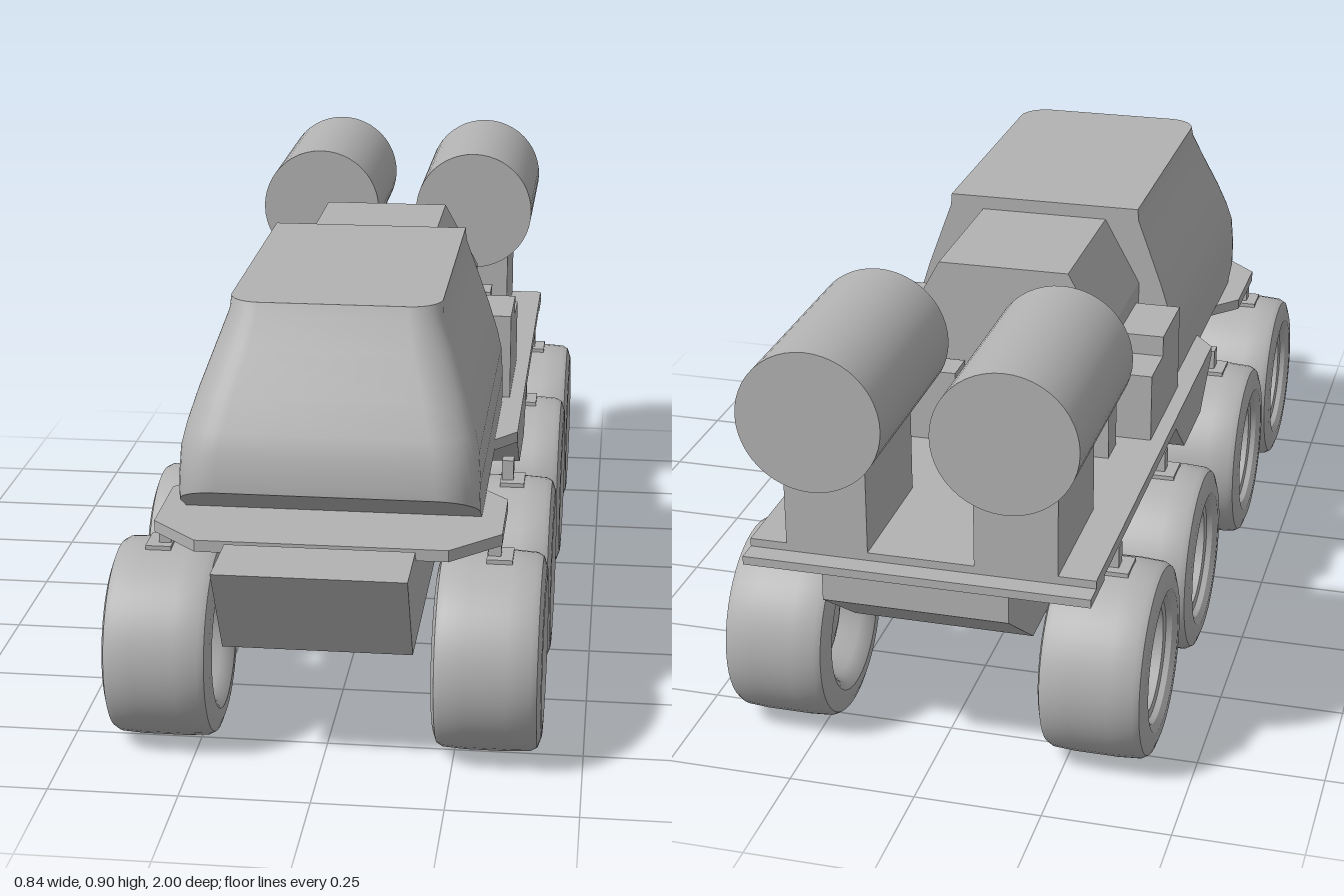
import * as THREE from 'three';
import { toCreasedNormals } from 'three/addons/utils/BufferGeometryUtils.js';

const bodyGrey = new THREE.MeshStandardMaterial({ color: 0xb2b2b2 });
bodyGrey.name = 'body grey';

export function createModel() {
  const model = new THREE.Group();
  model.name = 'sixteenFootRover';
  model.name = 'eightWheelRover';

  function add(geo, name, parent = model) {
    const mesh = new THREE.Mesh(geo, bodyGrey);
    mesh.name = name;
    parent.add(mesh);
    return mesh;
  }
  // Box given by its limits on each axis
  function box(name, x0, x1, y0, y1, z0, z1) {
    const g = new THREE.BoxGeometry(x1 - x0, y1 - y0, z1 - z0);
    g.translate((x0 + x1) / 2, (y0 + y1) / 2, (z0 + z1) / 2);
    return add(g, name);
  }
  const extrude = (pts, depth) => new THREE.ExtrudeGeometry(
    new THREE.Shape(pts.map(p => new THREE.Vector2(p[0], p[1]))), { depth, bevelEnabled: false });
  // Side profile of [z, y] points, spanning x0..x1
  const sideProfile = (name, pts, x0, x1) =>
    add(extrude(pts, x1 - x0).rotateY(-Math.PI / 2).translate(x1, 0, 0), name);
  // Symmetric plan outline of [x, z] points, spanning y0..y1
  function plate(name, half, y0, y1) {
    const pts = [...half, ...half.map(([x, z]) => [-x, z]).reverse()].map(([x, z]) => [x, -z]);
    add(extrude(pts, y1 - y0).rotateX(-Math.PI / 2).translate(0, y0, 0), name);
  }

  // Chassis and decks
  sideProfile('hull', [[1, 0.455], [0.89, 0.265], [-0.79, 0.265], [-0.965, 0.39], [-0.965, 0.455],
    [0.8, 0.455], [0.82, 0.432], [0.84, 0.432], [0.85, 0.455]], -0.18, 0.18);
  plate('frontDeck', [[0.24, 0.835], [0.335, 0.74], [0.335, 0.55], [0.28, 0.49], [0.28, 0.2]], 0.432, 0.455);
  plate('rearDeck', [[0.28, 0.27], [0.335, 0.2], [0.335, -0.925]], 0.455, 0.478);
  box('tailPlate', -0.335, 0.335, 0.445, 0.462, -0.968, -0.86);
  for (const s of [-1, 1]) {
    const [a, b] = s > 0 ? [0.17, 0.335] : [-0.335, -0.17];
    sideProfile('sideStep', [[0.2, 0.456], [0.08, 0.37], [-0.1, 0.37], [-0.2, 0.456]], a, b);
  }

  // Cab: rounded plan outlines stacked by height
  const levels = [ // y, half width, front z, corner radius
    [0.455, 0.29, 0.78, 0.08], [0.54, 0.29, 0.78, 0.08], [0.6, 0.286, 0.773, 0.08],
    [0.64, 0.277, 0.756, 0.08], [0.7, 0.258, 0.723, 0.075], [0.78, 0.229, 0.677, 0.07],
    [0.84, 0.207, 0.642, 0.06], [0.865, 0.205, 0.63, 0.06]];
  const STEPS = 8;
  const rings = levels.map(([y, w, zf, r], k) => {
    const half = [[w, -0.01], [w, zf - r - 0.05]];
    for (let i = 0; i <= STEPS; i++) {
      const t = i / STEPS * Math.PI / 2;
      half.push([w - r + r * Math.cos(t), zf - r + r * Math.sin(t)]);
    }
    const ring = [...half, ...half.map(([x, z]) => [-x, z]).reverse()];
    // The underside of the nose rises toward the front
    return ring.map(([x, z]) => [x, k === 0 ? y + Math.max(0, z - 0.65) * 0.58 : y, z]);
  });
  const pos = [];
  const quad = (a, b, c, d) => pos.push(...a, ...b, ...c, ...a, ...c, ...d);
  const n = rings[0].length, top = rings[rings.length - 1], low = rings[0];
  for (let k = 0; k < rings.length - 1; k++)
    for (let i = 0; i < n; i++) {
      const j = (i + 1) % n;
      quad(rings[k][i], rings[k + 1][i], rings[k + 1][j], rings[k][j]);
    }
  for (let i = 0; i < n / 2 - 1; i++) {
    quad(top[i], top[n - 1 - i], top[n - 2 - i], top[i + 1]);
    quad(low[i], low[i + 1], low[n - 2 - i], low[n - 1 - i]);
  }
  const cab = new THREE.BufferGeometry();
  cab.setAttribute('position', new THREE.Float32BufferAttribute(pos, 3));
  add(toCreasedNormals(cab, 0.5), 'cab');

  // Rear cabin with chamfered roof
  add(extrude([[-0.21, 0.47], [0.21, 0.47], [0.21, 0.7], [0.135, 0.837], [-0.135, 0.837], [-0.21, 0.7]], 0.335)
    .translate(0, 0, -0.34), 'rearCabin');

  // Lockers, pedestals and tanks, one set per side
  for (const s of [-1, 1]) {
    const side = (name, a, b, ...rest) => box(name, Math.min(s * a, s * b), Math.max(s * a, s * b), ...rest);
    side('tallLocker', 0.19, 0.305, 0.47, 0.663, -0.205, -0.035);
    side('lowLocker', 0.19, 0.305, 0.47, 0.62, -0.315, -0.205);
    side('rearLocker', 0.08, 0.24, 0.47, 0.63, -0.42, -0.35);
    side('tankPedestal', 0.103, 0.263, 0.47, 0.69, -0.925, -0.645);
    add(new THREE.CylinderGeometry(0.138, 0.138, 0.425, 48).rotateX(Math.PI / 2)
      .translate(s * 0.183, 0.768, -0.7875), 'tank');
  }

  // Wheel: tyre and rim in one turned profile of [radius, offset], inner side first
  const profile = [[0, -0.055], [0.05, -0.055], [0.085, -0.045], [0.1, -0.04], [0.115, -0.08], [0.125, -0.095],
    [0.14, -0.105], [0.165, -0.104], [0.185, -0.097], [0.192, -0.085], [0.195, -0.04], [0.195, 0.04],
    [0.192, 0.085], [0.185, 0.097], [0.165, 0.104], [0.14, 0.105], [0.125, 0.096], [0.12, 0.085],
    [0.108, 0.082], [0.1, 0.035], [0.09, 0.03], [0.085, 0.048], [0.032, 0.054], [0.028, 0.066], [0, 0.066]];
  const tyre = toCreasedNormals(
    new THREE.LatheGeometry(profile.map(p => new THREE.Vector2(p[0], p[1])), 48).rotateZ(-Math.PI / 2), 0.5);
  const bolt = new THREE.CylinderGeometry(0.012, 0.012, 0.02, 10).rotateZ(-Math.PI / 2);
  const guard = new THREE.CylinderGeometry(0.199, 0.199, 0.03, 8, 1, false, -0.3, 0.6);

  for (const s of [-1, 1]) for (const z of [0.7, 0.27, -0.28, -0.71]) {
    const wheel = new THREE.Group();
    wheel.name = 'wheel';
    wheel.position.set(s * 0.315, 0.2, z);
    if (s < 0) wheel.rotation.y = Math.PI;
    add(tyre, 'tyreAndRim', wheel);
    for (let i = 0; i < 7; i++) {
      const a = i / 7 * Math.PI * 2;
      add(bolt, 'wheelBolt', wheel).position.set(0.056, 0.06 * Math.cos(a), 0.06 * Math.sin(a));
    }
    // Small strut between wheel top and deck
    add(new THREE.BoxGeometry(0.024, 0.055, 0.03), 'wheelStrut', wheel).position.set(0.005, 0.215, 0);
    const foot = add(new THREE.BoxGeometry(0.05, 0.01, 0.07), 'strutFoot', wheel);
    foot.position.set(0.015, 0.195, 0);
    model.add(wheel);
  }
  guard.dispose();

  // Standing figure, shoulders along z
  const figure = new THREE.Group();
  figure.name = 'figure';
  figure.position.set(0, 0.478, -0.43);
  model.add(figure);
  function limb(name, a, b, r0, r1) {
    const p = new THREE.Vector3(...a), q = new THREE.Vector3(...b), d = q.clone().sub(p);
    const m = add(new THREE.CylinderGeometry(r1, r0, d.length(), 10), name, figure);
    m.position.copy(p).add(q).multiplyScalar(0.5);
    m.quaternion.setFromUnitVectors(new THREE.Vector3(0, 1, 0), d.normalize());
  }
  for (const s of [-1, 1]) {
    limb('leg', [0, 0, s * 0.016], [0, 0.115, s * 0.012], 0.008, 0.014);
    limb('upperArm', [0, 0.18, s * 0.028], [-0.004, 0.135, s * 0.043], 0.009, 0.007);
    limb('forearm', [-0.004, 0.135, s * 0.043], [0.008, 0.1, s * 0.058], 0.007, 0.005);
  }
  limb('torso', [0, 0.105, 0], [0, 0.19, 0], 0.02, 0.026);
  limb('neck', [0, 0.185, 0], [0, 0.205, 0], 0.008, 0.008);
  add(new THREE.SphereGeometry(0.016, 14, 10).scale(1, 1.2, 0.9), 'head', figure).position.set(0, 0.213, 0);

  return model;
}
